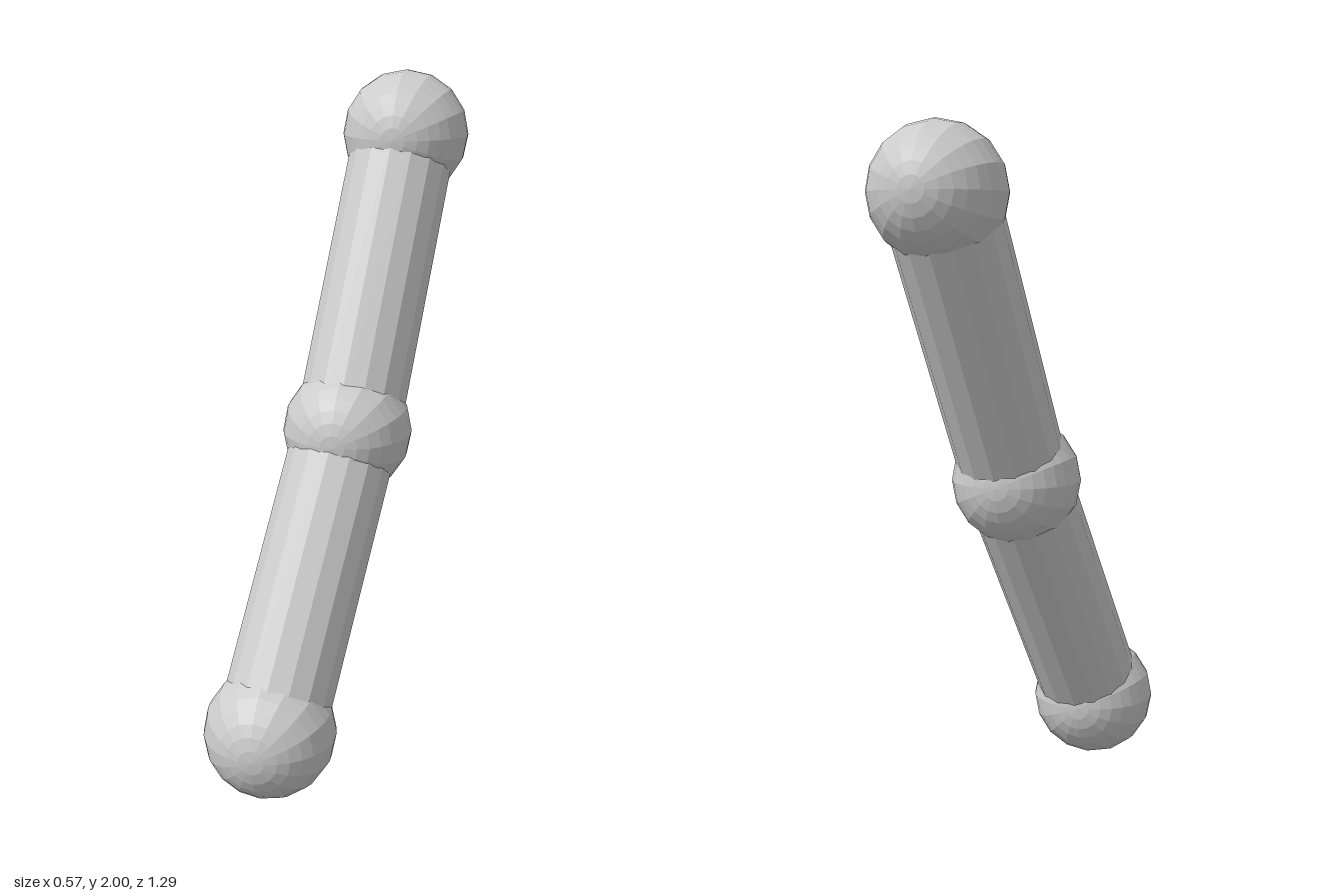
import * as THREE from 'three';

export function createModel() {
  const group = new THREE.Group();
  const material = new THREE.MeshStandardMaterial({ color: 0xcccccc, flatShading: true });
  const ballRadius = 0.193, rodRadius = 0.16;

  // Joint centres, from the low front end to the high back end
  const joints = [
    ['lowerBall', new THREE.Vector3(-0.095, 0.195, 0.45)],
    ['middleBall', new THREE.Vector3(0.017, 0.975, -0.018)],
    ['upperBall', new THREE.Vector3(0.093, 1.807, -0.449)],
  ];

  // Faceted balls, poles along z
  const ballGeometry = new THREE.SphereGeometry(ballRadius, 16, 16).rotateX(Math.PI / 2);
  for (const [name, centre] of joints) {
    const ball = new THREE.Mesh(ballGeometry, material);
    ball.name = name;
    ball.position.copy(centre);
    group.add(ball);
  }

  // Straight rod between two joint centres
  function addRod(name, from, to) {
    const direction = to.clone().sub(from);
    const rod = new THREE.Mesh(
      new THREE.CylinderGeometry(rodRadius, rodRadius, direction.length(), 16, 1, true),
      material
    );
    rod.name = name;
    rod.position.copy(from).add(to).multiplyScalar(0.5);
    rod.quaternion.setFromUnitVectors(new THREE.Vector3(0, 1, 0), direction.normalize());
    group.add(rod);
  }
  addRod('lowerRod', joints[0][1], joints[1][1]);
  addRod('upperRod', joints[1][1], joints[2][1]);

  return group;
}
